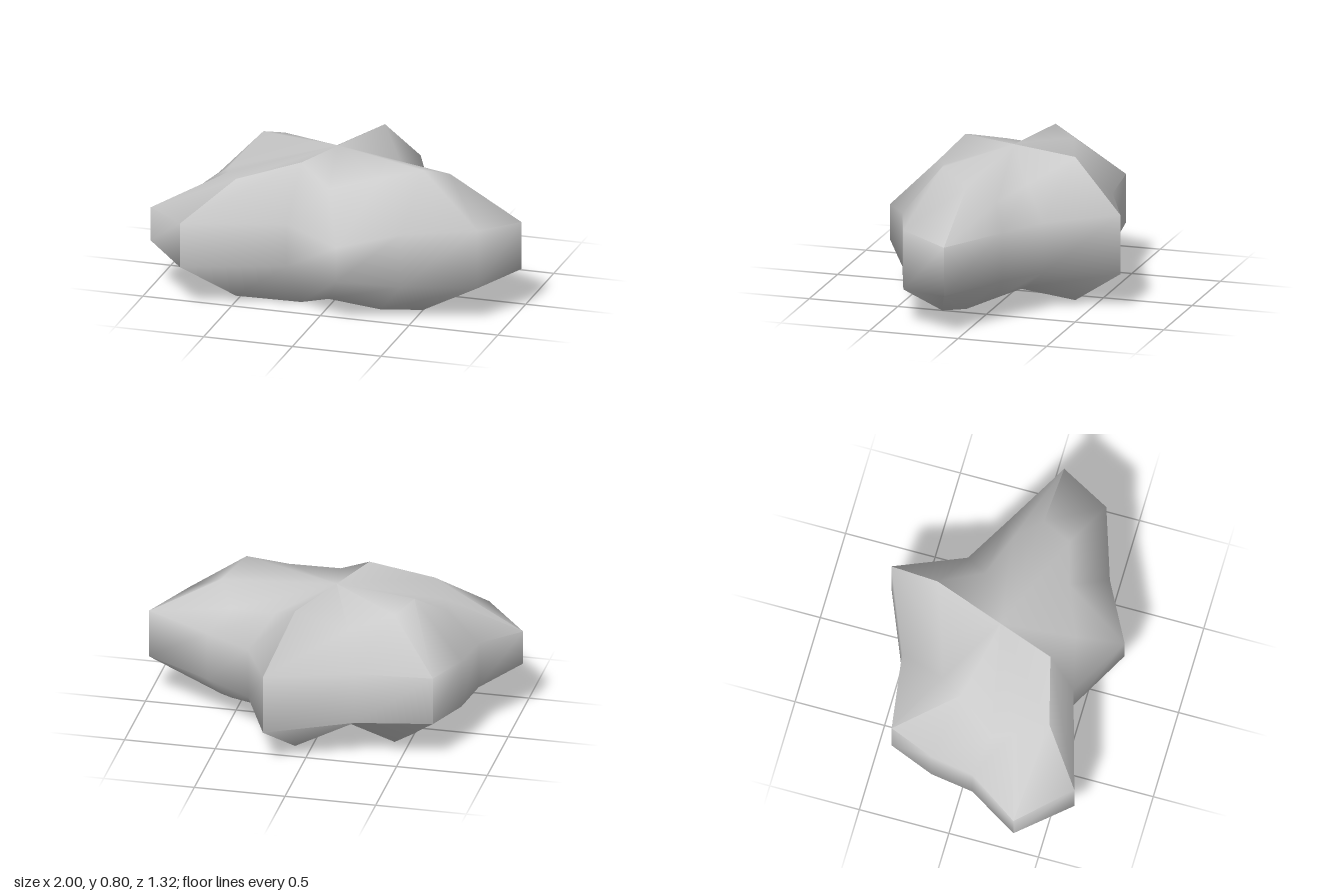
import * as THREE from 'three';
import { toCreasedNormals } from 'three/addons/utils/BufferGeometryUtils.js';

// One spoke per entry: rim x, z, upper y, lower y, then shoulder x, z, upper y, lower y
const spokes = [
  [-1.00, 0.36, 0.46, 0.27, -0.60, 0.24, 0.665, 0.08],
  [-0.75, 0.63, 0.49, 0.24, -0.50, 0.42, 0.70, 0.03],
  [-0.20, 0.47, 0.49, 0.25, -0.16, 0.33, 0.80, 0],
  [0.14, 0.66, 0.46, 0.265, 0.02, 0.42, 0.70, 0.07],
  [0.45, 0.49, 0.51, 0.21, 0.28, 0.31, 0.75, 0],
  [0.84, 0.36, 0.53, 0.20, 0.50, 0.25, 0.80, 0],
  [1.00, 0.08, 0.50, 0.23, 0.60, 0.08, 0.73, 0.05],
  [0.63, -0.13, 0.50, 0.23, 0.51, -0.06, 0.63, 0.10],
  [0.37, -0.28, 0.50, 0.22, 0.25, -0.15, 0.67, 0.10],
  [0.20, -0.66, 0.53, 0.20, 0.09, -0.37, 0.80, 0],
  [-0.26, -0.47, 0.51, 0.22, -0.18, -0.27, 0.67, 0.12],
  [-0.68, -0.41, 0.50, 0.23, -0.42, -0.20, 0.755, 0],
  [-0.78, -0.16, 0.50, 0.23, -0.50, -0.07, 0.80, 0],
  [-0.82, 0.08, 0.50, 0.24, -0.64, 0.13, 0.645, 0.10],
];
const count = spokes.length;
const ridgeStart = 1; // the hard ridge runs from this spoke over the top
const ridgeEnd = 9; // and leaves along this one

// Rings from the underside to the top, then the two centres
const rings = [
  spokes.map((s) => [s[4], s[7], s[5]]),
  spokes.map((s) => [s[0], s[3], s[1]]),
  spokes.map((s) => [s[0], s[2], s[1]]),
  spokes.map((s) => [s[4], s[6], s[5]]),
];
const positions = [...rings.flat(2), -0.05, 0, 0.02, -0.05, 0.8, 0.02];
const last = (rings.length - 1) * count;
const bottom = last + count;
const top = bottom + 1;

// Builds the faces on one side of the hard ridge, smooth within that side
function sideGeometry(isFront, creaseAngle) {
  const index = [];
  for (let i = 0; i < count; i++) {
    const j = (i + 1) % count;
    const wallIsFront = i >= ridgeStart && i < ridgeEnd;
    const capIsFront = i > ridgeStart && i < ridgeEnd;
    if (wallIsFront === isFront) {
      for (let r = 0; r < last; r += count) {
        index.push(r + i, r + j, r + count + j, r + i, r + count + j, r + count + i);
      }
      index.push(bottom, j, i);
    }
    if (capIsFront === isFront) index.push(top, last + i, last + j);
  }
  const geometry = new THREE.BufferGeometry();
  geometry.setAttribute('position', new THREE.Float32BufferAttribute(positions, 3));
  geometry.setIndex(index);
  return toCreasedNormals(geometry, creaseAngle);
}

export function createModel() {
  const stone = new THREE.MeshStandardMaterial({ color: 0xcacaca });
  stone.name = 'grey stone';
  const group = new THREE.Group();
  group.name = 'boulder';
  const front = new THREE.Mesh(sideGeometry(true, 1.35), stone);
  front.name = 'frontSide';
  const back = new THREE.Mesh(sideGeometry(false, 1.1), stone);
  back.name = 'backSide';
  group.add(front, back);
  return group;
}
